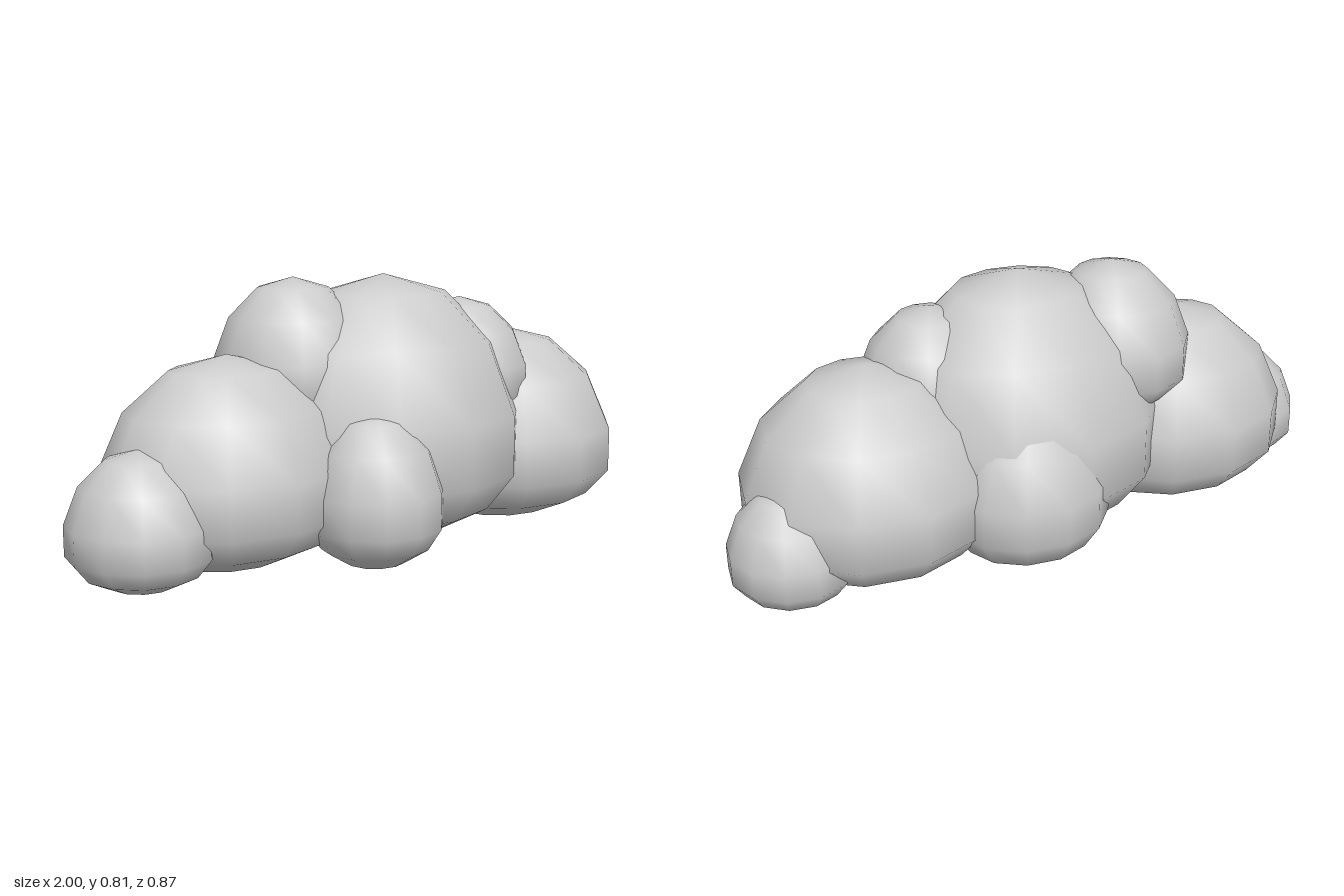
import * as THREE from 'three';
import { mergeVertices } from 'three/addons/utils/BufferGeometryUtils.js';

// Low-poly ball, stretched to rx / ry / rz, with its underside flattened to depth 'under'
function puffGeometry(rx, ry, rz, under) {
  let g = new THREE.SphereGeometry(1, 12, 7);
  g.deleteAttribute('normal');
  g.deleteAttribute('uv');
  g = mergeVertices(g, 1e-4);
  const p = g.attributes.position;
  for (let i = 0; i < p.count; i++) {
    const y = p.getY(i);
    p.setXYZ(i, p.getX(i) * rx, y * (y > 0 ? ry : under), p.getZ(i) * rz);
  }
  g.computeVertexNormals();
  return g;
}

export function createModel() {
  const cloud = new THREE.Group();
  cloud.name = 'cloud';
  const material = new THREE.MeshStandardMaterial({ color: 0xcccccc });

  // name, centre [x, y, z], radii [x, up, z], depth of the flattened underside
  const puffs = [
    ['centrePuff', [0.05, 0.268], [0.46, 0.537], 0, 0.4, 0.265],
    ['leftPuff', [0.54, 0.2], [0.388, 0.412], 0.02, 0.362, 0.2],
    ['rightPuff', [-0.485, 0.2], [0.385, 0.405], -0.05, 0.335, 0.197],
    ['leftEndPuff', [0.825, 0.119], [0.18, 0.226], -0.05, 0.19, 0.116],
    ['rightEndPuff', [-0.8, 0.131], [0.205, 0.255], -0.005, 0.216, 0.127],
    ['frontPuff', [-0.19, 0.16], [0.203, 0.29], 0.243, 0.197, 0.156],
    ['backPuff', [0.16, 0.178], [0.25, 0.32], -0.22, 0.221, 0.172],
    ['upperRightPuff', [-0.228, 0.5], [0.24, 0.305], -0.08, 0.243, 0.153],
    ['upperLeftPuff', [0.31, 0.46], [0.22, 0.265], 0.06, 0.22, 0.133],
  ];
  for (const [name, [x, y], [rx, ry], z, rz, under] of puffs) {
    const puff = new THREE.Mesh(puffGeometry(rx, ry, rz, under), material);
    puff.name = name;
    puff.position.set(x, y, z);
    cloud.add(puff);
  }
  return cloud;
}
